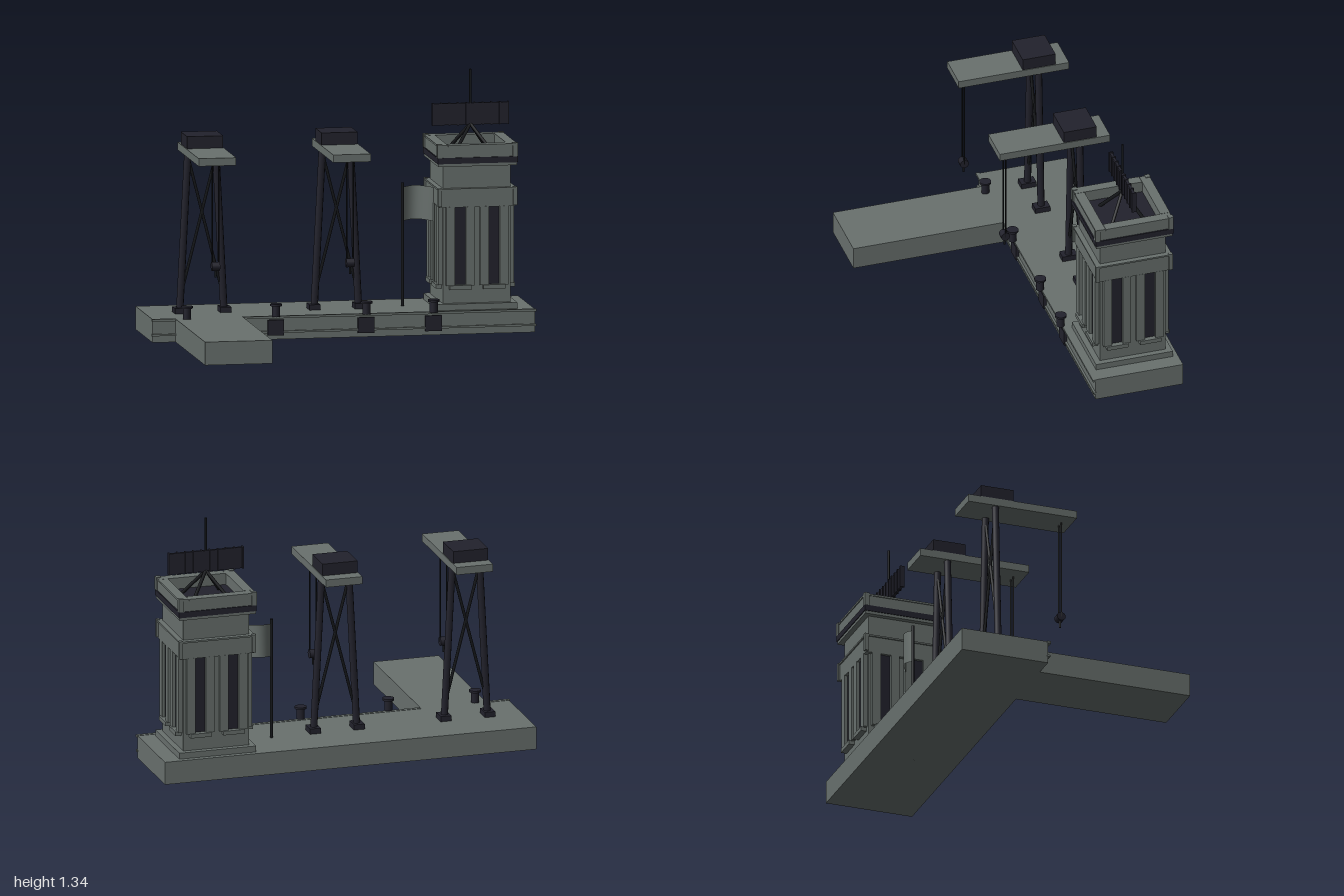
import * as THREE from 'three';

const mat = (name, color, extra = {}) => {
  const m = new THREE.MeshStandardMaterial({ color, ...extra });
  m.name = name;
  return m;
};

export function createModel() {
  const stone = mat('grey stone', 0x69716e);
  const cloth = mat('grey cloth', 0x69716e, { side: THREE.DoubleSide });
  const dark = mat('dark slate', 0x22222c);
  const black = mat('black iron', 0x15171a);
  const root = new THREE.Group();
  root.name = 'harbourDock';

  const group = (name, parent, x = 0, y = 0, z = 0) => {
    const g = new THREE.Group();
    g.name = name;
    g.position.set(x, y, z);
    parent.add(g);
    return g;
  };
  const add = (parent, name, geo, material, x = 0, y = 0, z = 0) => {
    const m = new THREE.Mesh(geo, material);
    m.name = name;
    m.position.set(x, y, z);
    parent.add(m);
    return m;
  };
  // Box given by its x centre, bottom and top, z centre
  const box = (parent, name, material, w, y0, y1, d, x = 0, z = 0) =>
    add(parent, name, new THREE.BoxGeometry(w, y1 - y0, d), material, x, (y0 + y1) / 2, z);
  // Round bar between two points
  const bar = (parent, name, material, a, b, r, sides = 8) => {
    const p = new THREE.Vector3(...a), q = new THREE.Vector3(...b);
    const dir = q.clone().sub(p);
    const m = add(parent, name, new THREE.CylinderGeometry(r, r, dir.length(), sides), material);
    m.position.copy(p).add(q).multiplyScalar(0.5);
    m.quaternion.setFromUnitVectors(new THREE.Vector3(0, 1, 0), dir.normalize());
    return m;
  };

  // Quay, jetty and the edge rails
  const dock = group('dock', root);
  box(dock, 'quay', stone, 1.99, 0, 0.12, 0.47, 0, -0.41);
  box(dock, 'jetty', stone, 0.35, 0, 0.12, 0.822, -0.7, 0.234);
  for (const [x0, x1] of [[-1, -0.875], [-0.525, 1]]) {
    box(dock, 'edgeRail', stone, x1 - x0, 0.11, 0.122, 0.02, (x0 + x1) / 2, -0.17);
    box(dock, 'lowerRail', stone, x1 - x0, 0.034, 0.044, 0.016, (x0 + x1) / 2, -0.172);
  }

  // Bollards with fenders below
  for (const x of [-0.82, -0.355, 0.115, 0.465]) {
    const b = group('bollard', root, x, 0, -0.155);
    bar(b, 'bollardPost', dark, [0, 0.12, 0], [0, 0.178, 0], 0.021, 12);
    bar(b, 'bollardCap', dark, [0, 0.176, 0], [0, 0.187, 0], 0.031, 12);
    if (x > -0.5) box(b, 'fender', dark, 0.085, 0.022, 0.102, 0.018, 0, -0.014);
  }

  // Two cranes
  for (const x of [-0.7, 0]) {
    const c = group('crane', root, x, 0, -0.38);
    for (const s of [-1, 1]) {
      box(c, 'craneFoot', dark, 0.057, 0.12, 0.148, 0.08, s * 0.118);
      bar(c, 'craneLeg', dark, [s * 0.115, 0.13, 0], [s * 0.073, 0.945, 0], 0.019);
      bar(c, 'crossBrace', black, [s * 0.073, 0.93, 0], [-s * 0.112, 0.2, 0], 0.008, 6);
      bar(c, 'hoistCable', black, [s * 0.018, 0.41, 0.38], [s * 0.018, 0.945, 0.38], 0.004, 6);
    }
    box(c, 'craneJib', stone, 0.195, 0.94, 0.98, 0.592, 0, 0.14);
    box(c, 'craneCab', dark, 0.187, 0.98, 1.043, 0.176, 0, 0.003);
    bar(c, 'hookBlock', dark, [-0.021, 0.412, 0.38], [0.021, 0.412, 0.38], 0.023, 14);
    bar(c, 'hook', black, [0, 0.355, 0.38], [0, 0.41, 0.38], 0.006, 6);
  }

  // Tower body
  const t = group('tower', root, 0.703, 0, -0.411);
  const tier = (name, material, size, y0, y1) => box(t, name, material, size, y0, y1, size);
  tier('plinth', stone, 0.412, 0.12, 0.152);
  tier('core', stone, 0.352, 0.15, 0.865);
  tier('fascia', stone, 0.392, 0.65, 0.738);
  tier('fasciaLip', stone, 0.406, 0.738, 0.747);
  tier('cornice', stone, 0.408, 0.862, 0.878);
  tier('darkBand', dark, 0.416, 0.877, 0.908);

  // Four faces with paired windows, jambs and sills, and a parapet wall
  for (let i = 0; i < 4; i++) {
    const f = group('towerFace', t);
    f.rotation.y = i * Math.PI / 2;
    for (const s of [-1, 1]) {
      box(f, 'window', dark, 0.056, 0.248, 0.65, 0.008, s * 0.088, 0.177);
      box(f, 'sill', stone, 0.114, 0.225, 0.247, 0.035, s * 0.088, 0.189);
      for (const j of [-1, 1])
        box(f, 'jamb', stone, 0.045, 0.245, 0.652, 0.024, s * 0.088 + j * 0.051, 0.185);
    }
    box(f, 'parapet', stone, 0.358, 0.908, 0.966, 0.046, 0.023, 0.179);
    box(f, 'parapetLip', stone, 0.358, 0.964, 0.974, 0.052, 0.026, 0.181);
    box(f, 'parapetCorner', stone, 0.026, 0.908, 0.978, 0.026, 0.196, 0.196);
    box(f, 'fasciaCorner', stone, 0.02, 0.655, 0.75, 0.02, 0.196, 0.196);
  }
  box(t, 'roofDeck', dark, 0.314, 0.905, 0.914, 0.314);

  // Radar on four splayed legs with its mast
  const r = group('radar', t);
  for (const sx of [-1, 1]) for (const sz of [-1, 1])
    bar(r, 'radarLeg', black, [sx * 0.1, 0.912, sz * 0.09], [0, 1.052, 0], 0.009, 6);
  bar(r, 'mast', black, [0, 1.04, 0], [0, 1.335, 0], 0.006, 8);
  box(r, 'radarPanel', dark, 0.4, 1.048, 1.16, 0.014);
  for (let i = 0; i < 10; i++)
    box(r, 'radarRib', dark, 0.008, 1.046, 1.163, 0.024, -0.196 + i * 0.0436);

  // Flagpole and waving flag
  const f = group('flag', root, 0.35, 0, -0.41);
  bar(f, 'flagpole', black, [0, 0, 0], [0, 0.757, 0], 0.008, 8);
  const flag = new THREE.PlaneGeometry(0.24, 0.175, 16, 1);
  const p = flag.attributes.position;
  for (let i = 0; i < p.count; i++) {
    const u = p.getX(i) / 0.24 + 0.5;
    p.setXYZ(i, u * 0.24, p.getY(i) + 0.645 + 0.006 * Math.sin(u * 5), -0.026 * Math.sin(u * Math.PI * 2));
  }
  flag.computeVertexNormals();
  add(f, 'flagCloth', flag, cloth);

  return root;
}
